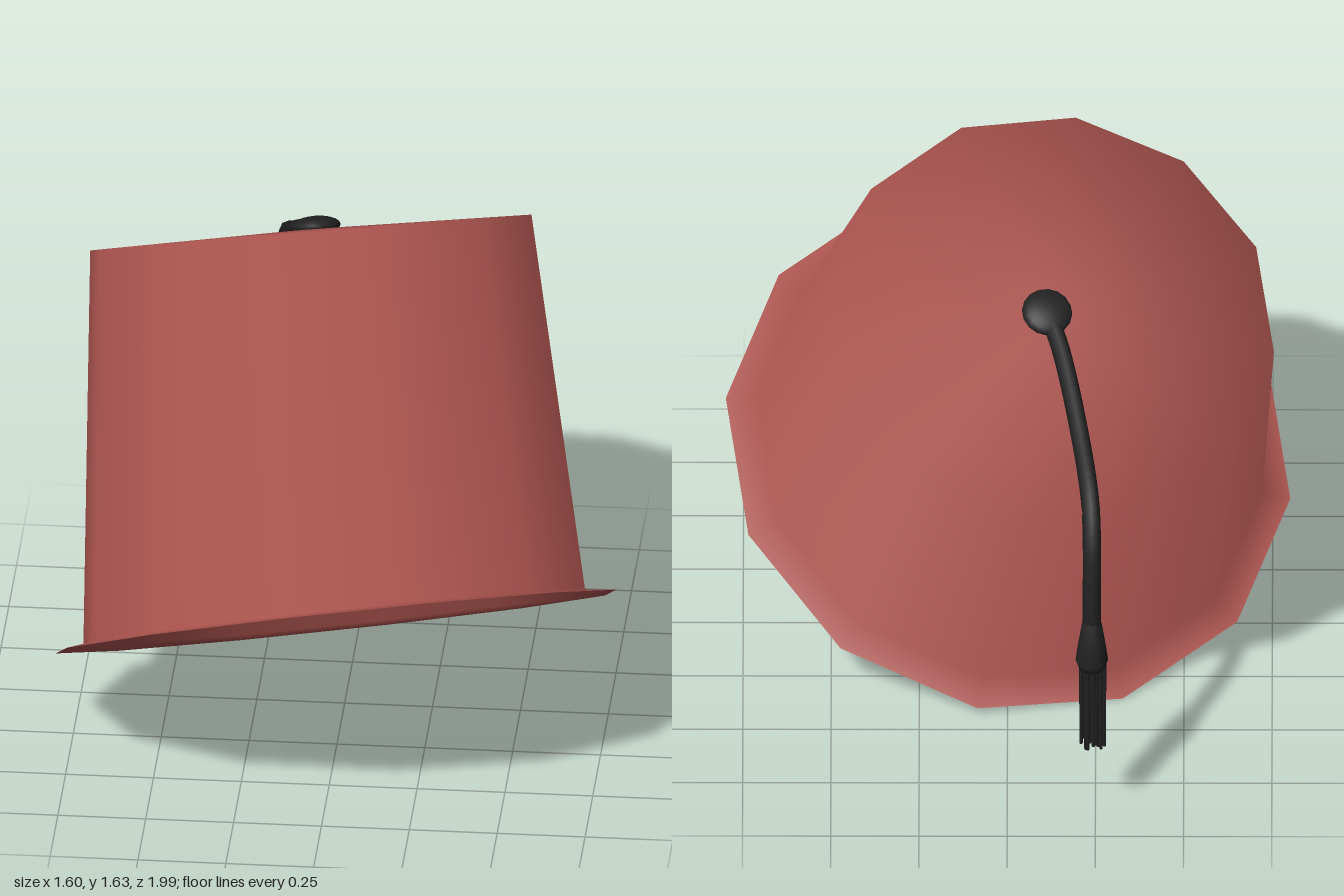
import * as THREE from 'three';

const felt = new THREE.MeshStandardMaterial({ color: 0xa8524d, side: THREE.DoubleSide });
felt.name = 'redFelt';
const thread = new THREE.MeshStandardMaterial({ color: 0x222222, side: THREE.DoubleSide });
thread.name = 'blackThread';

const V = (x, y, z) => new THREE.Vector3(x, y, z);
const SIDES = 12;

// Cross-sections of the tilted hat: centre, two radius vectors, outward share of the soft normal
const RINGS = [
  { centre: V(0, 0.407, 0.28), across: V(-0.8, -0.155, -0.03), forward: V(-0.085, 0.382, 0.715), outward: 0.2 },
  { centre: V(-0.005, 0.42, 0.282), across: V(-0.716, -0.139, -0.027), forward: V(-0.076, 0.342, 0.64), outward: 1 },
  { centre: V(-0.125, 1.33, -0.325), across: V(-0.63, -0.1, -0.025), forward: V(-0.067, 0.285, 0.565), outward: 1 },
];
const crown = RINGS[2].centre;
const up = RINGS[2].across.clone().cross(RINGS[2].forward).normalize();

function mesh(name, geometry, material) {
  const m = new THREE.Mesh(geometry, material);
  m.name = name;
  return m;
}

// Hollow shell: thin brim, tapering wall and top as one smooth surface
function hatShell() {
  const points = [];
  const normals = [];
  const index = [];
  RINGS.forEach(({ centre, across, forward, outward }, r) => {
    for (let k = 0; k < SIDES; k++) {
      const t = (k / SIDES) * Math.PI * 2;
      const radius = across.clone().multiplyScalar(Math.cos(t)).addScaledVector(forward, Math.sin(t));
      points.push(centre.clone().add(radius));
      normals.push(...radius.normalize().multiplyScalar(outward).add(up).normalize().toArray());
      const a = r * SIDES + k;
      const b = r * SIDES + (k + 1) % SIDES;
      if (r < RINGS.length - 1) index.push(a, b, b + SIDES, a, b + SIDES, a + SIDES);
      else index.push(a, b, RINGS.length * SIDES);
    }
  });
  points.push(crown.clone().addScaledVector(up, 0.01));
  normals.push(...up.toArray());
  const g = new THREE.BufferGeometry().setFromPoints(points);
  g.setAttribute('normal', new THREE.Float32BufferAttribute(normals, 3));
  g.setIndex(index);
  return g;
}

export function createModel() {
  const hat = new THREE.Group();
  hat.name = 'tasselledHat';
  hat.add(mesh('hatShell', hatShell(), felt));

  // Flattened button in the middle of the top
  const button = mesh('button', new THREE.SphereGeometry(0.072, 16, 10), thread);
  button.scale.y = 0.4;
  button.quaternion.setFromUnitVectors(V(0, 1, 0), up);
  button.position.set(-0.112, 1.352, -0.325);
  hat.add(button);

  // Cord lying over the top and hanging down behind
  const path = new THREE.CatmullRomCurve3([
    V(-0.112, 1.35, -0.32), V(-0.15, 1.295, -0.42), V(-0.205, 1.165, -0.65),
    V(-0.235, 1.06, -0.83), V(-0.24, 0.96, -0.905), V(-0.24, 0.82, -0.94), V(-0.24, 0.7, -0.95),
  ]);
  hat.add(mesh('cord', new THREE.TubeGeometry(path, 32, 0.026, 8), thread));

  // Tassel: bound head and loose strands
  const tassel = new THREE.Group();
  tassel.name = 'tassel';
  tassel.position.set(-0.24, 0, -0.95);
  const head = [[0, 0.56], [0.038, 0.565], [0.046, 0.59], [0.04, 0.64], [0.028, 0.72], [0, 0.75]];
  tassel.add(mesh('tasselHead',
    new THREE.LatheGeometry(head.map(([x, y]) => new THREE.Vector2(x, y)), 12), thread));
  for (let i = 0; i < 18; i++) {
    const angle = i * 2.4;
    const radius = 0.036 * Math.sqrt((i + 0.5) / 18);
    const length = 0.285 + 0.015 * Math.sin(i * 5.3);
    const strand = mesh('strand', new THREE.CylinderGeometry(0.006, 0.005, length, 5), thread);
    strand.position.set(radius * Math.cos(angle), 0.58 - length / 2, radius * Math.sin(angle));
    tassel.add(strand);
  }
  hat.add(tassel);
  return hat;
}
